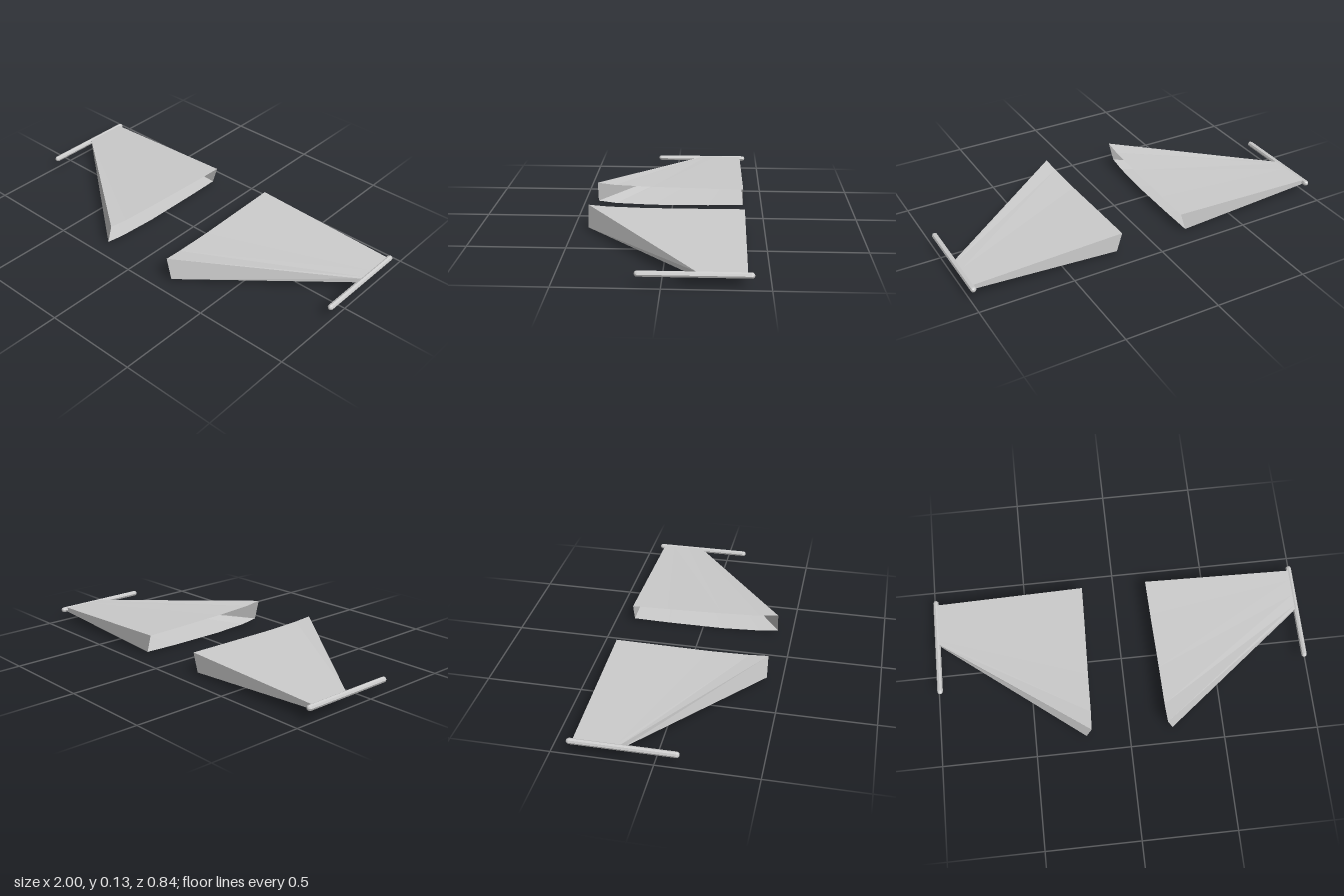
import * as THREE from 'three';

const grey = new THREE.MeshStandardMaterial({ color: 0xcccccc, flatShading: true, side: THREE.DoubleSide });

// Wing stations, leading edge to trailing edge:
// [root z, tip z, top x, top y, bottom x, bottom y]
const stations = [
  [0.42, -0.16, 0.2, 0.13, 0.23, 0.015],
  [0.32, -0.18, 0.195, 0.12, 0.225, 0.004],
  [0.11, -0.245, 0.19, 0.113, 0.215, 0],
  [-0.2, -0.335, 0.18, 0.11, 0.21, 0.003],
  [-0.395, -0.39, 0.175, 0.109, 0.205, 0.01],
];
const TIP_X = 0.98, TIP_Y = 0.067, ROD_R = 0.015;

// Tapered shell lofted from the open root section to the thin tip section
function wingGeometry(side) {
  const root = [], tip = [];
  for (const [zr, zt, x, y] of stations) {
    root.push([side * x, y, zr]);
    tip.push([side * TIP_X, TIP_Y + 0.012, zt]);
  }
  for (const [zr, zt, , , x, y] of [...stations].reverse()) {
    root.push([side * x, y, zr]);
    tip.push([side * TIP_X, TIP_Y - 0.012, zt]);
  }
  const positions = [];
  const n = root.length;
  for (let i = 0; i < n; i++) {
    const j = (i + 1) % n;
    const quad = [root[i], tip[i], tip[j], root[j]];
    if (side < 0) quad.reverse();
    for (const k of [0, 1, 2, 0, 2, 3]) positions.push(...quad[k]);
  }
  const geometry = new THREE.BufferGeometry();
  geometry.setAttribute('position', new THREE.Float32BufferAttribute(positions, 3));
  geometry.computeVertexNormals();
  return geometry;
}

export function createModel() {
  const group = new THREE.Group();
  group.name = 'wingPair';
  for (const side of [1, -1]) {
    const label = side > 0 ? 'left' : 'right';

    const wing = new THREE.Mesh(wingGeometry(side), grey);
    wing.name = label + 'Wing';

    // Slim round-ended rod along the wing tip, reaching forward
    const zFront = 0.12, zBack = -0.422;
    const rod = new THREE.Mesh(
      new THREE.CapsuleGeometry(ROD_R, zFront - zBack - 2 * ROD_R, 3, 8), grey);
    rod.name = label + 'TipRod';
    rod.rotation.x = Math.PI / 2;
    rod.position.set(side * (1 - ROD_R), TIP_Y, (zFront + zBack) / 2);

    group.add(wing, rod);
  }
  return group;
}
